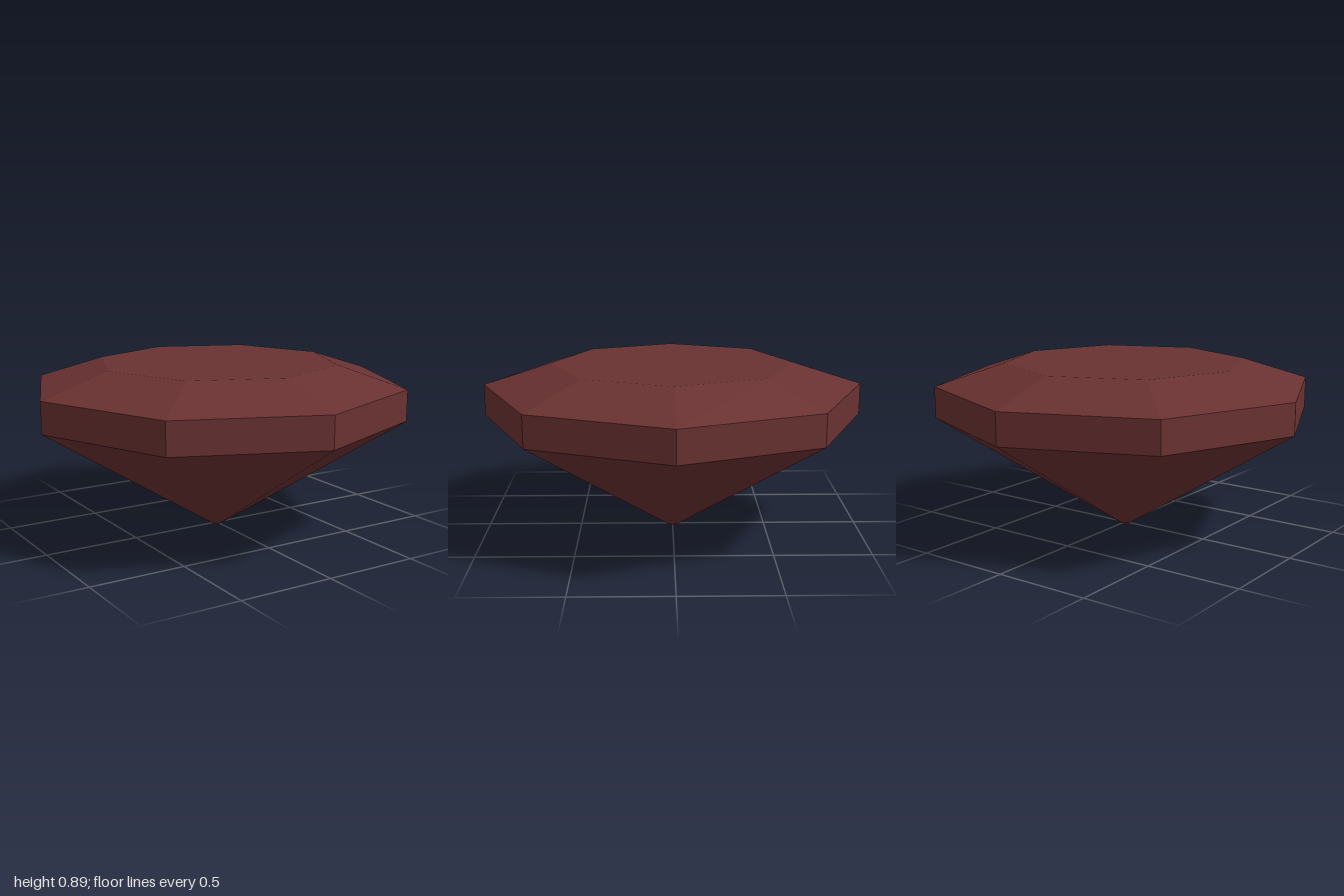
import * as THREE from 'three';

export function createModel() {
  const model = new THREE.Group();
  model.name = 'cutGem';
  const gemRed = new THREE.MeshStandardMaterial({ color: 0x6a3131, flatShading: true });
  gemRed.name = 'gemRed';

  // One eight-sided tier between two heights; a cap closes only the outer ends.
  const tier = (name, rTop, rBottom, y0, y1) => {
    const geometry = new THREE.CylinderGeometry(rTop, rBottom, y1 - y0, 8, 1, true);
    geometry.translate(0, (y0 + y1) / 2, 0);
    const mesh = new THREE.Mesh(geometry, gemRed);
    mesh.name = name;
    model.add(mesh);
  };
  // Flat octagon facing up or down, with a corner on each axis.
  const facet = (name, radius, y, up) => {
    const geometry = new THREE.CircleGeometry(radius, 8);
    geometry.rotateX(up ? -Math.PI / 2 : Math.PI / 2);
    geometry.translate(0, y, 0);
    const mesh = new THREE.Mesh(geometry, gemRed);
    mesh.name = name;
    model.add(mesh);
  };

  facet('culet', 0.03, 0, false);
  tier('pavilion', 1, 0.03, 0, 0.615);
  tier('girdle', 1, 1, 0.615, 0.78);
  tier('crown', 0.64, 1, 0.78, 0.895);
  facet('table', 0.64, 0.895, true);

  return model;
}
